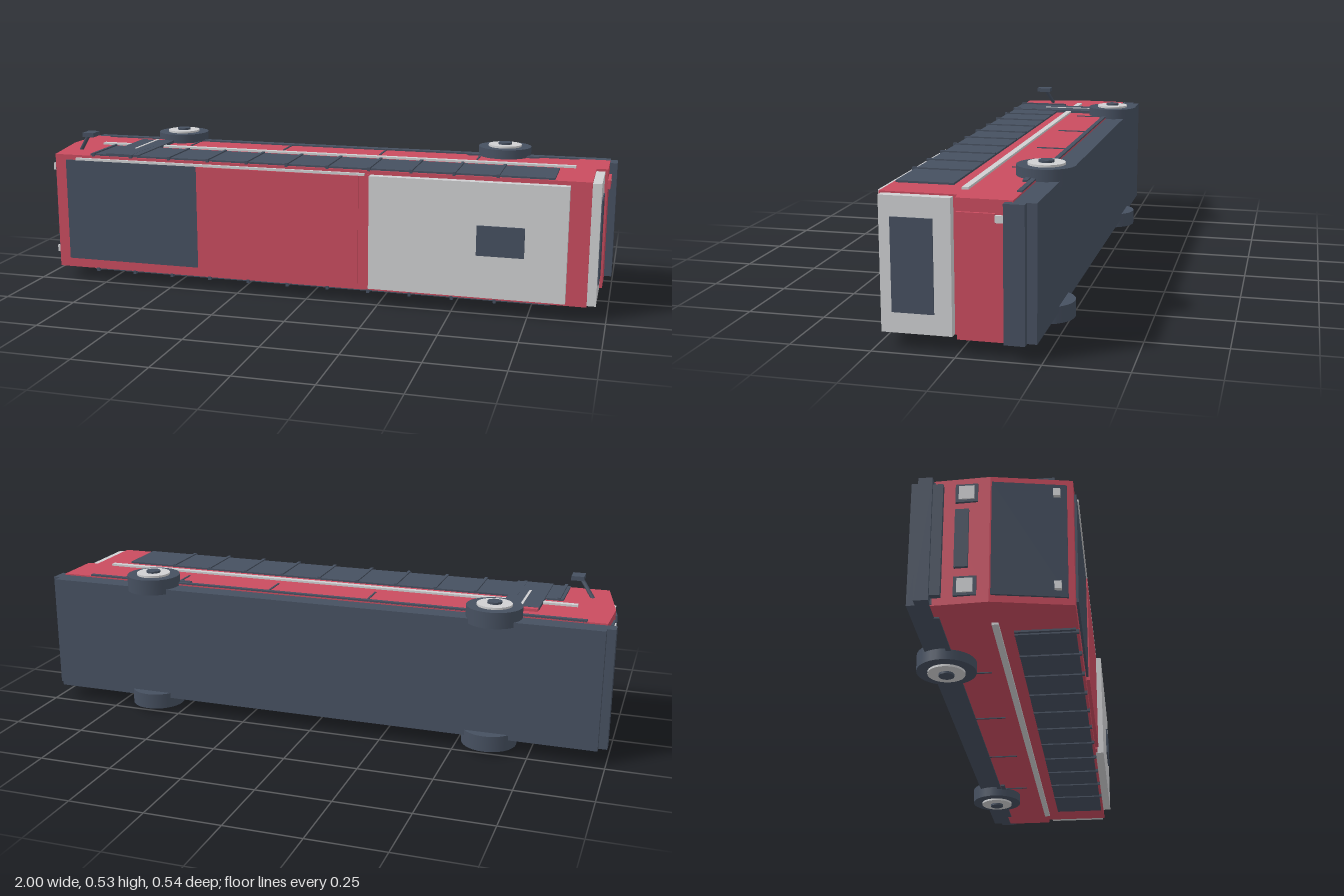
import * as THREE from 'three';

const mat = (name, color) => {
  const m = new THREE.MeshStandardMaterial({ color });
  m.name = name;
  return m;
};

export function createModel() {
  const bus = new THREE.Group();
  bus.name = 'bus';
  const red = mat('red paint', 0xc94c5f);
  const grey = mat('light grey', 0xcfd0d2);
  const dark = mat('dark slate', 0x465060);

  const add = (name, geometry, material, parent = bus) => {
    const mesh = new THREE.Mesh(geometry, material);
    mesh.name = name;
    parent.add(mesh);
    return mesh;
  };
  // Box from its limits along each axis
  const box = (name, m, x0, x1, y0, y1, z0, z1) => {
    const mesh = add(name, new THREE.BoxGeometry(x1 - x0, y1 - y0, z1 - z0), m);
    mesh.position.set((x0 + x1) / 2, (y0 + y1) / 2, (z0 + z1) / 2);
    return mesh;
  };
  // Side outline in (x, z), extruded across the width from y0 to y1
  const prism = (name, m, points, y0, y1) => {
    const shape = new THREE.Shape(points.map(([x, z]) => new THREE.Vector2(x, z)));
    const g = new THREE.ExtrudeGeometry(shape, { depth: y1 - y0, bevelEnabled: false });
    g.rotateX(Math.PI / 2).translate(0, y1, 0);
    return add(name, g, m);
  };

  // The bus lies on its side: roof towards +z, nose towards -x
  const Y0 = 0.047, Y1 = 0.458, MID = (Y0 + Y1) / 2;
  prism('body', red, [[-0.97, -0.165], [0.975, -0.165], [0.975, 0], [0.937, 0.005],
    [0.937, 0.236], [-0.933, 0.236], [-0.978, 0]], Y0, Y1);
  box('chassis', dark, -0.972, 0.975, 0.05, 0.453, -0.232, -0.16);
  box('rearBumper', dark, 0.965, 1, 0.05, 0.453, -0.203, -0.142);
  box('frontBumper', dark, -1, -0.965, 0.05, 0.453, -0.207, -0.165);
  box('frontBumperLip', dark, -0.99, -0.965, 0.07, 0.435, -0.165, -0.135);

  // Nose
  const slope = (z) => -0.978 + (z * 0.045) / 0.236;
  prism('windscreen', dark, [[slope(0.005) - 0.007, 0.005], [slope(0.005) + 0.004, 0.005],
    [slope(0.218) + 0.004, 0.218], [slope(0.218) - 0.007, 0.218]], 0.068, 0.437);
  box('grille', dark, -0.984, -0.97, 0.16, 0.35, -0.1, -0.06);
  for (const y of [0.1, 0.405]) {
    box('headlightFrame', dark, -0.982, -0.968, y - 0.03, y + 0.03, -0.1, -0.035);
    box('headlight', grey, -0.986, -0.978, y - 0.022, y + 0.022, -0.09, -0.045);
    box('markerLight', grey, -0.962, -0.944, y - 0.012, y + 0.012, 0.18, 0.2);
  }

  // Tail
  box('rearPanel', grey, 0.93, 0.966, 0.05, 0.453, 0.017, 0.229);
  box('rearWindow', dark, 0.96, 0.97, 0.112, 0.392, 0.069, 0.195);
  box('tailLight', red, 0.97, 0.984, 0.39, 0.42, -0.115, -0.003);
  box('reverseLight', grey, 0.97, 0.984, 0.394, 0.415, -0.14, -0.115);

  // Roof
  box('roofFrontPanel', dark, -0.89, -0.395, 0.08, 0.44, 0.23, 0.243);
  box('roofMiddlePanel', red, -0.395, 0.18, 0.068, 0.44, 0.23, 0.247);
  box('roofRib', red, 0.18, 0.215, 0.06, 0.445, 0.23, 0.242);
  box('roofRail', grey, -0.85, 0.2, 0.441, 0.449, 0.23, 0.247);
  box('roofUnit', grey, 0.22, 0.87, 0.06, 0.445, 0.23, 0.264);
  box('roofVent', dark, 0.58, 0.735, 0.203, 0.303, 0.26, 0.27);

  // Fittings repeated on both long sides
  for (const s of [-1, 1]) {
    const face = s > 0 ? Y1 : Y0;
    const plate = (name, m, x0, x1, z0, z1, out) => {
      const a = face - s * 0.002, b = face + s * out;
      box(name, m, x0, x1, Math.min(a, b), Math.max(a, b), z0, z1);
    };
    plate('windowBand', dark, -0.8, 0.82, 0.05, 0.228, 0.006);
    for (let i = 0; i < 11; i++) {
      const x = -0.785 + i * 0.1425;
      plate('windowPillar', dark, x - 0.005, x + 0.005, 0.05, 0.237, 0.0105);
    }
    plate('sideTrim', grey, -0.855, 0.87, -0.008, 0.012, 0.007);
    plate('lowerTrim', dark, -0.905, 0.87, -0.165, -0.15, 0.005);
    for (const x of [-0.53, -0.172, 0.185, 0.53]) {
      plate('panelSeam', dark, x - 0.003, x + 0.003, -0.15, -0.05, 0.003);
    }
    plate('rearArchTrim', dark, 0.483, 0.735, -0.147, -0.132, 0.006);

    // Wheels
    for (const x of [-0.61, 0.61]) {
      const wheel = new THREE.Group();
      wheel.name = 'wheel';
      wheel.position.set(x, MID, -0.177);
      bus.add(wheel);
      const disc = (name, m, r, inner, outer) => {
        const d = add(name, new THREE.CylinderGeometry(r, r, outer - inner, 32), m, wheel);
        d.position.y = (s * (inner + outer)) / 2;
      };
      disc('tyre', dark, 0.092, 0.184, 0.2375);
      disc('rim', grey, 0.058, 0.23, 0.2445);
      disc('hub', dark, 0.024, 0.24, 0.2515);
    }
  }

  // Door on the kerb side
  box('door', dark, -0.74, -0.615, 0.455, 0.468, -0.085, 0.228);
  box('doorStep', red, -0.738, -0.617, 0.455, 0.467, -0.105, -0.085);
  box('doorSplit', grey, -0.683, -0.675, 0.46, 0.47, -0.09, 0.11);

  // Mirror
  const arm = new THREE.LineCurve3(new THREE.Vector3(-0.89, 0.455, 0.122), new THREE.Vector3(-0.842, 0.52, 0.148));
  add('mirrorArm', new THREE.TubeGeometry(arm, 1, 0.007, 8), dark);
  box('mirrorHead', dark, -0.855, -0.812, 0.513, 0.528, 0.123, 0.177);

  return bus;
}
